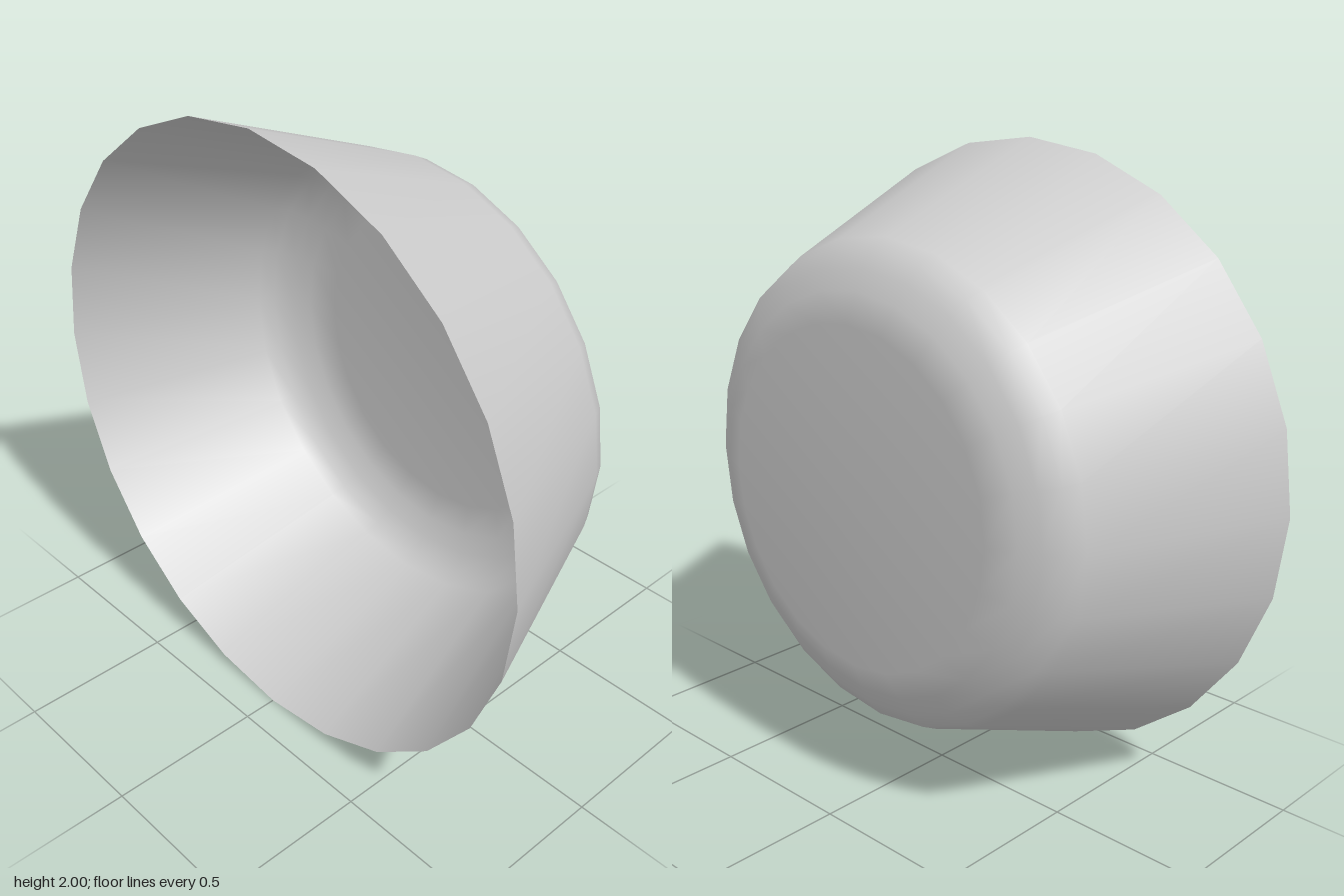
import * as THREE from 'three';

export function createModel() {
  const group = new THREE.Group();
  const material = new THREE.MeshStandardMaterial({ color: 0xcccccc, side: THREE.DoubleSide });

  // Profile as [radius, distance along the axis]: open rim, sloped wall, rounded corner, flat base
  const profile = [
    [1, -0.39], [0.76, 0.23], [0.735, 0.28], [0.68, 0.32], [0.62, 0.35], [0.53, 0.385], [0, 0.385],
  ].map(([r, h]) => new THREE.Vector2(r, h));

  // Thin bowl lying on its side, base towards +x and mouth towards -x
  const geometry = new THREE.LatheGeometry(profile, 24);
  geometry.rotateZ(-Math.PI / 2);
  geometry.translate(0, 1, 0);

  const bowl = new THREE.Mesh(geometry, material);
  bowl.name = 'bowl';
  group.add(bowl);
  return group;
}
